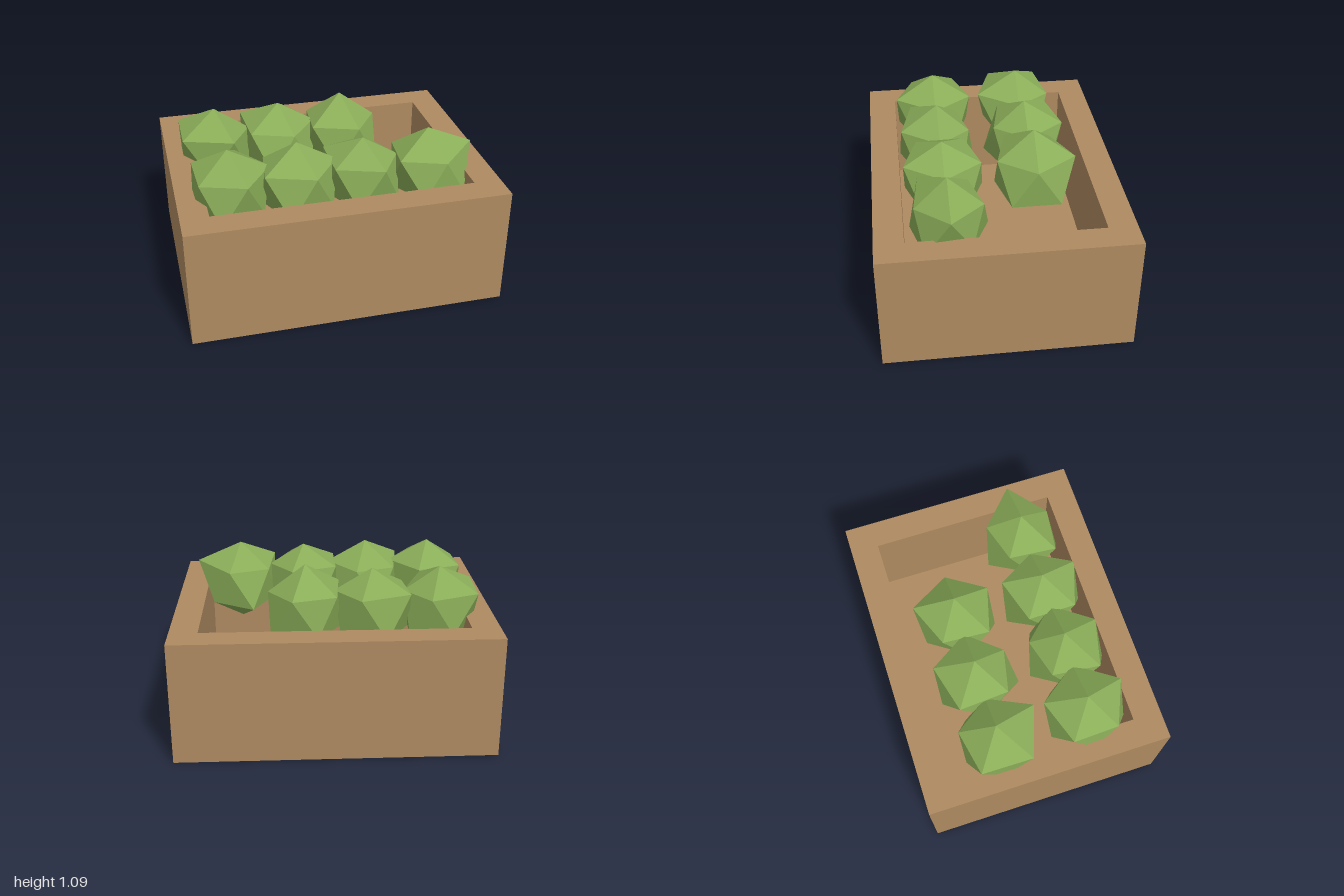
import * as THREE from 'three';

const wood = new THREE.MeshStandardMaterial({ color: 0xae8a61 });
wood.name = 'wood brown';
const leaf = new THREE.MeshStandardMaterial({ color: 0x8aad58, flatShading: true });
leaf.name = 'leaf green';

const HEIGHT = 0.78, FLOOR = 0.18, HEAD_Y = 0.79;

// Each head: centre x and z, pole height, then radii of the upper and lower rings
const HEADS = [
  { x: -0.67, z: -0.25, top: 0.27, upper: [0.225, 0.285, 0.28, 0.275, 0.23], lower: [0.24, 0.23, 0.22, 0.23, 0.24] },
  { x: -0.245, z: -0.25, top: 0.265, upper: [0.24, 0.22, 0.255, 0.285, 0.26], lower: [0.25, 0.275, 0.24, 0.265, 0.25] },
  { x: 0.175, z: -0.25, top: 0.295, upper: [0.235, 0.25, 0.27, 0.24, 0.27], lower: [0.27, 0.25, 0.23, 0.24, 0.27] },
  { x: -0.67, z: 0.33, top: 0.27, upper: [0.26, 0.27, 0.24, 0.255, 0.26], lower: [0.24, 0.26, 0.225, 0.25, 0.25] },
  { x: -0.245, z: 0.33, top: 0.27, upper: [0.255, 0.255, 0.28, 0.23, 0.215], lower: [0.25, 0.27, 0.23, 0.25, 0.25] },
  { x: 0.175, z: 0.33, top: 0.25, upper: [0.225, 0.26, 0.26, 0.265, 0.255], lower: [0.25, 0.255, 0.23, 0.275, 0.25] },
  { x: 0.6, z: 0.33, top: 0.27, upper: [0.29, 0.215, 0.28, 0.235, 0.225], lower: [0.26, 0.245, 0.23, 0.265, 0.23] },
];

// Lumpy icosahedron: two poles and two staggered five-point rings
function headGeometry({ top, upper, lower }) {
  const ring = (radii, turn, rise) => radii.map((r, k) => {
    const a = (k + turn) * Math.PI * 2 / 5;
    return [r * Math.cos(a), r * rise, r * Math.sin(a)];
  });
  const points = [[0, top, 0], ...ring(upper, 0, 0.5), ...ring(lower, 0.5, -0.5), [0, -0.26, 0]];
  const index = [];
  for (let k = 0; k < 5; k++) {
    const n = (k + 1) % 5;
    const u0 = 1 + k, u1 = 1 + n, l0 = 6 + k, l1 = 6 + n;
    index.push(0, u1, u0, u0, u1, l0, l0, u1, l1, l0, l1, 11);
  }
  const geometry = new THREE.BufferGeometry();
  geometry.setAttribute('position', new THREE.Float32BufferAttribute(points.flat(), 3));
  geometry.setIndex(index);
  const flat = geometry.toNonIndexed();
  flat.computeVertexNormals();
  return flat;
}

function rectangle(path, x, z) {
  path.moveTo(-x, -z);
  path.lineTo(x, -z);
  path.lineTo(x, z);
  path.lineTo(-x, z);
  path.closePath();
  return path;
}

export function createModel() {
  const model = new THREE.Group();
  model.name = 'vegetableCrate';

  // Thick crate walls around an open middle
  const outline = rectangle(new THREE.Shape(), 1, 0.78);
  outline.holes.push(rectangle(new THREE.Path(), 0.825, 0.6));
  const walls = new THREE.Mesh(
    new THREE.ExtrudeGeometry(outline, { depth: HEIGHT, bevelEnabled: false }).rotateX(-Math.PI / 2), wood);
  walls.name = 'crateWalls';
  model.add(walls);

  // Crate floor
  const floor = new THREE.Mesh(new THREE.BoxGeometry(1.65, FLOOR, 1.2), wood);
  floor.name = 'crateFloor';
  floor.position.y = FLOOR / 2;
  model.add(floor);

  // Two rows of green heads, with one place left empty
  const heads = new THREE.Group();
  heads.name = 'greenHeads';
  HEADS.forEach((head, i) => {
    const mesh = new THREE.Mesh(headGeometry(head), leaf);
    mesh.name = `greenHead${i + 1}`;
    mesh.position.set(head.x, HEAD_Y, head.z);
    heads.add(mesh);
  });
  model.add(heads);

  return model;
}
